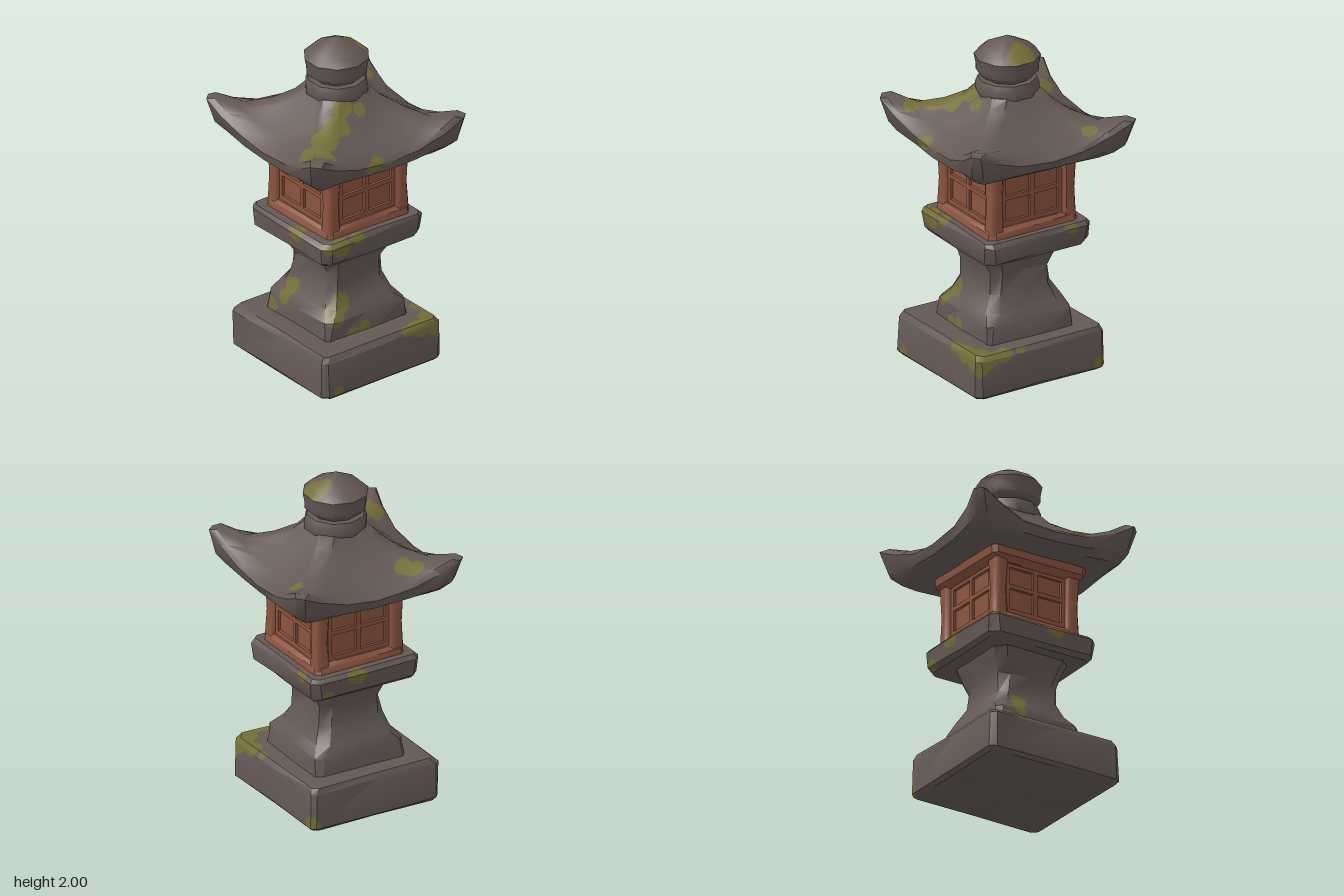
import * as THREE from 'three';
import { toCreasedNormals } from 'three/addons/utils/BufferGeometryUtils.js';

const material = (name, color) => Object.assign(new THREE.MeshStandardMaterial({ color }), { name });

// Repeatable offset in -1..1 for hand-cut unevenness
const wobble = (a, b) => {
  const s = Math.sin(a * 127.1 + b * 311.7) * 43758.5453;
  return (s - Math.floor(s)) * 2 - 1;
};

// Lofts bevelled squares, bottom to top.
// Ring: y, hx, hz, bevel, and optional lift and flare towards the corners.
function squareLoft(rings, { steps = [-1, 0, 1], cx = 0, cz = 0, rough = 0, seed = 1, crease = 0.6 } = {}) {
  const pos = [], index = [];
  const n = steps.length * 4;
  rings.forEach(({ y, hx, hz = hx, bevel = 0.03, lift = 0, flare = 0 }, i) => {
    for (let side = 0; side < 4; side++) {
      steps.forEach((t, k) => {
        const bend = Math.abs(t) ** 2.6;
        const grow = 1 + flare * bend;
        const [x, z] = [
          [t * (hx - bevel), hz], [hx, -t * (hz - bevel)],
          [-t * (hx - bevel), -hz], [-hx, t * (hz - bevel)],
        ][side];
        const j = side * steps.length + k + seed * 17;
        pos.push(
          cx + x * grow + wobble(j, i) * rough,
          y + lift * bend + (y > 0 ? wobble(j, i + 40) * rough * 0.6 : 0),
          cz + z * grow + wobble(j, i + 80) * rough,
        );
      });
    }
  });
  for (let i = 0; i < rings.length - 1; i++) {
    for (let j = 0; j < n; j++) {
      const a = i * n + j, b = i * n + (j + 1) % n;
      index.push(a, b, b + n, a, b + n, a + n);
    }
  }
  const last = rings.length - 1;
  pos.push(cx, rings[0].y, cz, cx, rings[last].y, cz);
  const low = (last + 1) * n;
  for (let j = 0; j < n; j++) {
    const k = (j + 1) % n;
    index.push(low, k, j, low + 1, last * n + j, last * n + k);
  }
  const geo = new THREE.BufferGeometry();
  geo.setAttribute('position', new THREE.Float32BufferAttribute(pos, 3));
  geo.setIndex(index);
  return toCreasedNormals(geo, crease);
}

// Splits faces along the edges of moss blobs [x, y, z, r]; mossy faces become group 1
function growMoss(geo, blobs) {
  const flat = geo.index ? geo.toNonIndexed() : geo;
  const P = flat.attributes.position, N = flat.attributes.normal;
  const out = [{ p: [], n: [] }, { p: [], n: [] }];
  const field = (p) => Math.min(...blobs.map(([x, y, z, r]) => {
    const edge = 1 + 0.13 * Math.sin(p.x * 47 + p.y * 31) * Math.cos(p.z * 41 + p.y * 23);
    return Math.hypot(p.x - x, p.y - y, p.z - z) - r * edge;
  }));
  const mid = (a, b) => ({
    p: a.p.clone().lerp(b.p, 0.5),
    n: a.n.clone().lerp(b.n, 0.5),
  });
  const split = (a, b, c) => {
    const size = Math.max(a.p.distanceTo(b.p), b.p.distanceTo(c.p), c.p.distanceTo(a.p));
    const f = field(a.p.clone().add(b.p).add(c.p).divideScalar(3));
    if (size > 0.014 && Math.abs(f) < size * 1.1) {
      const ab = mid(a, b), bc = mid(b, c), ca = mid(c, a);
      split(a, ab, ca); split(ab, b, bc); split(ca, bc, c); split(ab, bc, ca);
      return;
    }
    const bucket = out[f < 0 ? 1 : 0];
    for (const v of [a, b, c]) {
      v.n.normalize();
      bucket.p.push(v.p.x, v.p.y, v.p.z);
      bucket.n.push(v.n.x, v.n.y, v.n.z);
    }
  };
  const vert = (i) => ({
    p: new THREE.Vector3().fromBufferAttribute(P, i),
    n: new THREE.Vector3().fromBufferAttribute(N, i),
  });
  for (let i = 0; i < P.count; i += 3) split(vert(i), vert(i + 1), vert(i + 2));
  const res = new THREE.BufferGeometry();
  res.setAttribute('position', new THREE.Float32BufferAttribute([...out[0].p, ...out[1].p], 3));
  res.setAttribute('normal', new THREE.Float32BufferAttribute([...out[0].n, ...out[1].n], 3));
  const stoneCount = out[0].p.length / 3;
  res.addGroup(0, stoneCount, 0);
  res.addGroup(stoneCount, out[1].p.length / 3, 1);
  return res;
}

export function createModel() {
  const group = new THREE.Group();
  group.name = 'stoneLantern';
  const stone = material('stone', 0x635854);
  const moss = material('moss', 0x736c36);
  const wood = material('wood', 0x8b543f);

  const add = (name, geo, mat, parent = group) => {
    const mesh = new THREE.Mesh(geo, mat);
    mesh.name = name;
    parent.add(mesh);
    return mesh;
  };
  const addStone = (name, geo, blobs) => add(name, growMoss(geo, blobs), [stone, moss]);

  // Base slab
  addStone('base', squareLoft([
    { y: 0, hx: 0.4, hz: 0.415 }, { y: 0.02, hx: 0.42, hz: 0.435 },
    { y: 0.23, hx: 0.418, hz: 0.433 }, { y: 0.262, hx: 0.395, hz: 0.41 },
  ], { cx: -0.022, cz: 0.027, rough: 0.007, seed: 1 }), [
    [0.38, 0.26, 0.43, 0.115], [0.25, 0.26, 0.46, 0.07], [0.16, 0.27, 0.46, 0.05],
    [0.4, 0.27, 0.28, 0.07], [0.4, 0.28, 0.16, 0.045],
    [-0.35, 0.04, 0.465, 0.035], [0.39, 0.04, -0.38, 0.05],
  ]);

  // Waisted pillar
  addStone('pillar', squareLoft([
    { y: 0.24, hx: 0.292, bevel: 0.02 }, { y: 0.365, hx: 0.283, bevel: 0.035 },
    { y: 0.42, hx: 0.245, bevel: 0.05 }, { y: 0.51, hx: 0.205, bevel: 0.05 },
    { y: 0.63, hx: 0.195, bevel: 0.05 }, { y: 0.71, hx: 0.23, bevel: 0.06 },
    { y: 0.79, hx: 0.25, bevel: 0.05 },
  ], { cx: -0.008, cz: 0.012, rough: 0.009, seed: 2 }), [
    [-0.23, 0.385, 0.26, 0.065], [-0.16, 0.45, 0.235, 0.06],
    [-0.11, 0.27, 0.305, 0.04], [-0.04, 0.28, 0.305, 0.04],
    [-0.23, 0.44, -0.1, 0.055], [-0.26, 0.37, -0.11, 0.05], [-0.29, 0.3, -0.21, 0.045],
  ]);

  // Platform under the lamp house
  addStone('platform', squareLoft([
    { y: 0.765, hx: 0.325 }, { y: 0.79, hx: 0.35, bevel: 0.045 },
    { y: 0.885, hx: 0.358, bevel: 0.045 }, { y: 0.91, hx: 0.338 },
  ], { cx: -0.003, cz: 0.006, rough: 0.007, seed: 3 }), [
    [-0.24, 0.88, 0.36, 0.065], [-0.13, 0.91, 0.36, 0.05], [-0.32, 0.9, 0.35, 0.045],
    [0.07, 0.89, -0.36, 0.06], [-0.36, 0.9, 0.08, 0.06],
    [0.26, 0.79, -0.35, 0.04], [0.36, 0.9, -0.2, 0.045],
  ]);

  // Wooden lamp house
  const house = new THREE.Group();
  house.name = 'lampHouse';
  house.position.set(0.005, 0, 0.008);
  group.add(house);
  add('houseCore', new THREE.BoxGeometry(0.49, 0.43, 0.49).translate(0, 1.125, 0), wood, house);
  add('sill', squareLoft([
    { y: 0.9, hx: 0.298 }, { y: 0.945, hx: 0.29 }, { y: 0.965, hx: 0.272 },
  ], { rough: 0.004, seed: 4 }), wood, house);
  add('header', squareLoft([
    { y: 1.272, hx: 0.272 }, { y: 1.285, hx: 0.29 }, { y: 1.3, hx: 0.312 }, { y: 1.35, hx: 0.318 },
  ], { rough: 0.004, seed: 5 }), wood, house);

  // Corner posts
  [[1, 1], [1, -1], [-1, 1], [-1, -1]].forEach(([sx, sz], i) => {
    add('cornerPost', squareLoft([
      { y: 0.93, hx: 0.045, bevel: 0.015 }, { y: 1.1, hx: 0.038, bevel: 0.015 },
      { y: 1.3, hx: 0.045, bevel: 0.015 },
    ], { cx: sx * 0.243, cz: sz * 0.243, rough: 0.002, seed: 6 + i, crease: 0.9 }), wood, house);
  });

  // Four-pane window frame on every side
  const rect = (path, x0, y0, x1, y1) => {
    path.moveTo(x0, y0); path.lineTo(x1, y0); path.lineTo(x1, y1); path.lineTo(x0, y1);
    path.closePath();
    return path;
  };
  const frameShape = rect(new THREE.Shape(), -0.2, 0.95, 0.2, 1.28);
  for (const [x0, x1] of [[-0.175, -0.014], [0.014, 0.175]]) {
    for (const [y0, y1] of [[0.995, 1.122], [1.148, 1.252]]) {
      frameShape.holes.push(rect(new THREE.Path(), x0, y0, x1, y1));
    }
  }
  const frameGeo = new THREE.ExtrudeGeometry(frameShape, { depth: 0.022, bevelEnabled: false });
  for (let side = 0; side < 4; side++) {
    const pivot = new THREE.Group();
    pivot.name = 'windowSide';
    pivot.rotation.y = side * Math.PI / 2;
    house.add(pivot);
    add('windowFrame', frameGeo, wood, pivot).position.z = 0.24;
  }

  // Concave roof with upswept corners
  const roof = squareLoft([
    { y: 1.345, hx: 0.28, bevel: 0.02 },
    { y: 1.338, hx: 0.44, bevel: 0.03, lift: 0.01, flare: 0.03 },
    { y: 1.36, hx: 0.488, bevel: 0.04, lift: 0.05, flare: 0.04 },
    { y: 1.41, hx: 0.5, bevel: 0.04, lift: 0.14, flare: 0.08 },
    { y: 1.432, hx: 0.478, bevel: 0.05, lift: 0.13, flare: 0.07 },
    { y: 1.475, hx: 0.4, bevel: 0.05, lift: 0.045 },
    { y: 1.55, hx: 0.285, bevel: 0.045, lift: 0.015 },
    { y: 1.625, hx: 0.2, bevel: 0.06 },
    { y: 1.68, hx: 0.155, bevel: 0.06 },
  ], { steps: [-1, -0.8, -0.45, 0, 0.45, 0.8, 1], rough: 0.006, seed: 11, crease: 0.75 });
  roof.rotateY(-0.04);
  addStone('roof', roof, [
    [-0.41, 1.5, 0.32, 0.09], [-0.38, 1.5, 0.39, 0.055], [-0.3, 1.55, 0.27, 0.085],
    [-0.19, 1.6, 0.25, 0.08], [-0.1, 1.65, 0.17, 0.065], [0, 1.62, 0.21, 0.04],
    [-0.28, 1.47, -0.42, 0.06], [-0.22, 1.49, -0.37, 0.06],
    [0.42, 1.47, -0.28, 0.055], [-0.09, 1.43, 0.49, 0.045], [-0.13, 1.4, 0.5, 0.04],
  ]);

  // Neck and pointed finial, turned with few sides
  const turned = (points, crease) => toCreasedNormals(
    new THREE.LatheGeometry(points.map(([r, y]) => new THREE.Vector2(r, y)), 10), crease);
  add('neck', turned([
    [0.15, 1.62], [0.182, 1.67], [0.182, 1.715], [0.168, 1.75], [0, 1.755],
  ], 0.8), stone);
  addStone('finial', turned([
    [0, 1.74], [0.125, 1.745], [0.178, 1.79], [0.18, 1.835], [0.19, 1.885],
    [0.14, 1.93], [0.07, 1.965], [0, 2],
  ], 0.8), [[0.12, 1.925, -0.02, 0.075], [0.13, 1.91, 0.03, 0.06]]);

  return group;
}
